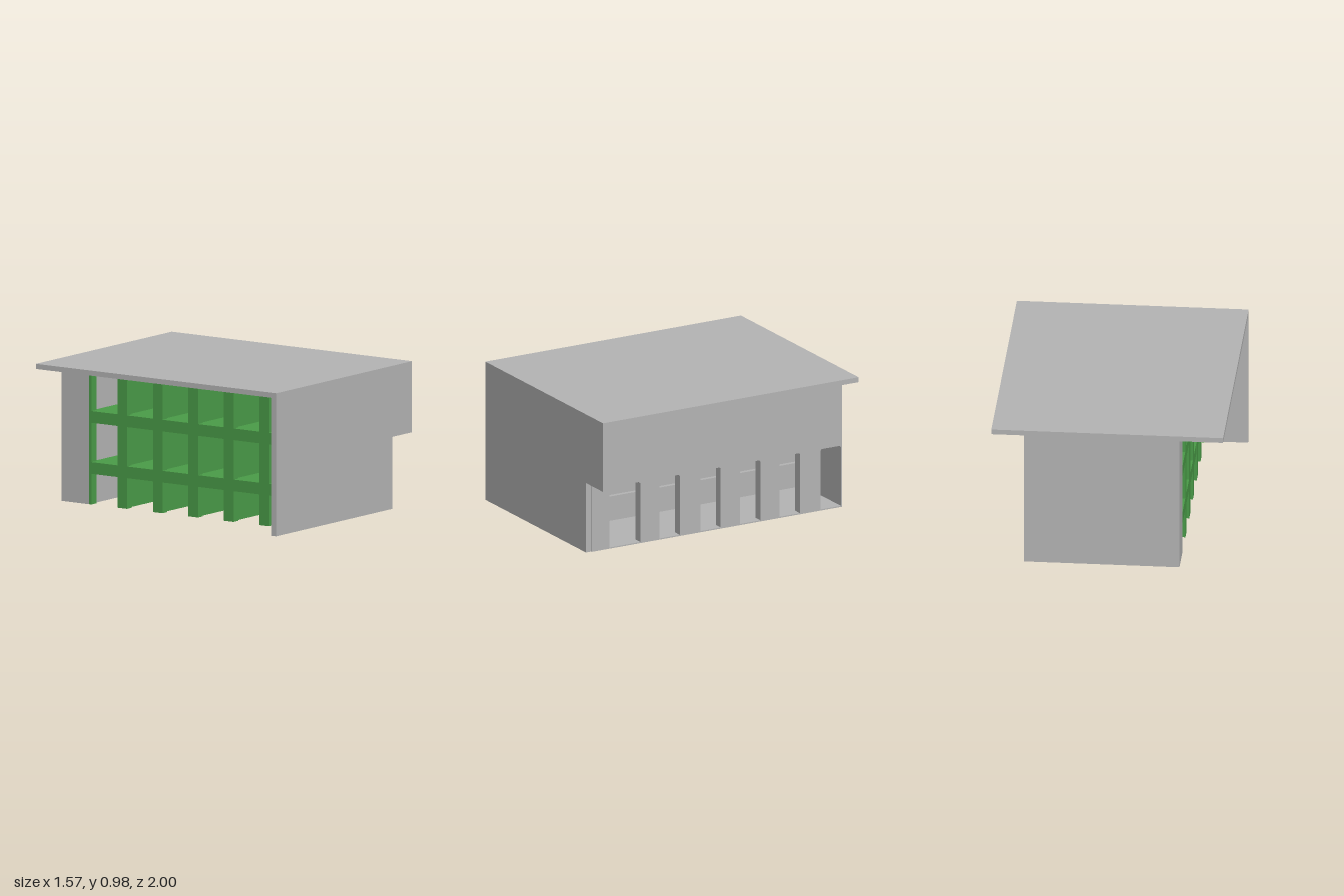
import * as THREE from 'three';

export function createModel() {
  const model = new THREE.Group();
  const concrete = new THREE.MeshStandardMaterial({ color: 0xb4b4b4 });
  concrete.name = 'concrete grey';
  const green = new THREE.MeshStandardMaterial({ color: 0x4a9c48 });
  green.name = 'lattice green';

  // Box given by its min and max along each axis
  function block(name, mat, [x0, x1], [y0, y1], [z0, z1], parent = model) {
    const mesh = new THREE.Mesh(new THREE.BoxGeometry(x1 - x0, y1 - y0, z1 - z0), mat);
    mesh.position.set((x0 + x1) / 2, (y0 + y1) / 2, (z0 + z1) / 2);
    mesh.name = name;
    parent.add(mesh);
    return mesh;
  }

  const roofY = 0.945;
  block('roof', concrete, [-0.785, 0.785], [roofY, 0.98], [-1, 1]);

  // Front wall with a step cut out beneath the overhang
  const front = new THREE.Shape([
    [-0.785, 0], [0.557, 0], [0.557, 0.493], [0.785, 0.493], [0.785, roofY], [-0.785, roofY],
  ].map(([x, y]) => new THREE.Vector2(x, y)));
  const frontWall = new THREE.Mesh(
    new THREE.ExtrudeGeometry(front, { depth: 0.04, bevelEnabled: false }), concrete);
  frontWall.position.z = 0.96;
  frontWall.name = 'frontWall';
  model.add(frontWall);

  // Side wall: a comb outline with doorways open to the ground (drawn as -z, y)
  const doors = [[-0.82, -0.58], [-0.43, -0.27], [-0.11, 0.05], [0.2, 0.36], [0.51, 0.67], [0.83, 0.99]];
  const side = new THREE.Shape();
  side.moveTo(-0.96, 0);
  for (const [a, b] of doors) {
    side.lineTo(a, 0);
    side.lineTo(a, 0.425);
    side.lineTo(a + 0.01, 0.435);
    side.lineTo(b - 0.01, 0.435);
    side.lineTo(b, 0.425);
    side.lineTo(b, 0);
  }
  side.lineTo(1, 0);
  side.lineTo(1, roofY);
  side.lineTo(-0.96, roofY);
  const sideWall = new THREE.Mesh(
    new THREE.ExtrudeGeometry(side, { depth: 0.065, bevelEnabled: false }), concrete);
  sideWall.rotation.y = Math.PI / 2;
  sideWall.position.x = 0.5;
  sideWall.name = 'arcadeWall';
  model.add(sideWall);

  // Hall interior and back of the building
  block('floor', concrete, [0, 0.565], [0, 0.008], [-0.99, 0.96]);
  block('innerWall', concrete, [0, 0.03], [0, roofY], [-0.99, 0.96]);
  block('innerPlinth', concrete, [0.03, 0.06], [0.008, 0.18], [-0.99, 0.77]);
  block('backWall', concrete, [0, 0.5], [0, roofY], [-1, -0.99]);
  block('backBlock', concrete, [-0.49, 0], [0, roofY], [-1, -0.77]);

  // Deep green lattice: wide posts and beams at the face, thinner fins and shelves behind
  const lattice = new THREE.Group();
  lattice.name = 'lattice';
  model.add(lattice);
  const face = [-0.49, -0.434], deep = [-0.434, 0], zMin = -0.77, zMax = 0.96;
  for (let k = 0; k <= 6; k++) {
    const z = -0.79 + 0.295 * k;
    block('post', green, face, [0, roofY],
      [Math.max(zMin, z - 0.04), Math.min(zMax, z + 0.04)], lattice);
    if (k > 0 && k < 6) block('fin', green, deep, [0, roofY], [z - 0.02, z + 0.02], lattice);
  }
  for (const y of [0.25, 0.6, 0.95]) {
    block('beam', green, [-0.489, -0.434], [y - 0.04, Math.min(roofY, y + 0.04)], [zMin, zMax], lattice);
    if (y < 0.9) block('shelf', green, deep, [y - 0.02, y + 0.039], [zMin, zMax], lattice);
  }
  return model;
}
